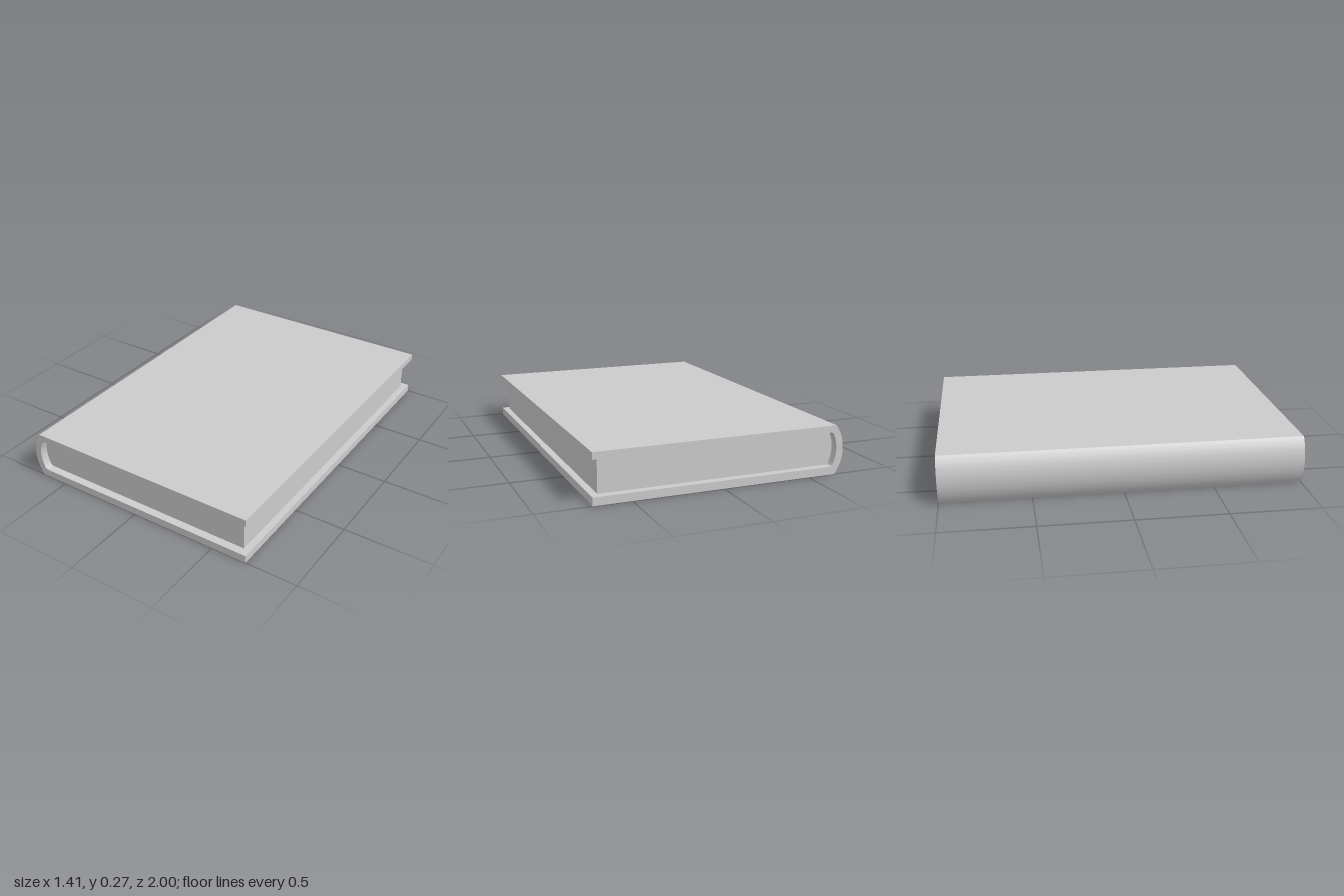
import * as THREE from 'three';
import { toCreasedNormals } from 'three/addons/utils/BufferGeometryUtils.js';

const HEIGHT = 0.272, BOARD_LOW = 0.044, BOARD_HIGH = 0.234;
const EDGE_X = 0.705, PAGE_X = 0.667;

// Rounded inner side of the spine, drawn from the lower board to the upper one
function drawInnerSpine(shape) {
  shape.lineTo(-0.625, BOARD_LOW);
  shape.quadraticCurveTo(-0.643, BOARD_LOW, -0.648, 0.06);
  shape.quadraticCurveTo(-0.682, 0.139, -0.648, 0.218);
  shape.quadraticCurveTo(-0.643, BOARD_HIGH, -0.625, BOARD_HIGH);
}

// Extrudes a cross-section along z, centred, with smooth curves and sharp edges
function extrudePart(name, shape, depth) {
  const geometry = new THREE.ExtrudeGeometry(shape, { depth, bevelEnabled: false, curveSegments: 16 });
  geometry.translate(0, 0, -depth / 2);
  const material = new THREE.MeshStandardMaterial({ color: 0xcccccc });
  const mesh = new THREE.Mesh(toCreasedNormals(geometry, Math.PI / 7), material);
  mesh.name = name;
  return mesh;
}

export function createModel() {
  const book = new THREE.Group();
  book.name = 'book';

  // Cover: two boards joined by a curved spine
  const cover = new THREE.Shape();
  const halfAngle = 0.645, radius = HEIGHT / 2 / Math.sin(halfAngle);
  cover.moveTo(EDGE_X, BOARD_HIGH);
  cover.lineTo(EDGE_X, HEIGHT);
  cover.absarc(-EDGE_X + radius, HEIGHT / 2, radius, Math.PI - halfAngle, Math.PI + halfAngle, false);
  cover.lineTo(EDGE_X, 0);
  cover.lineTo(EDGE_X, BOARD_LOW);
  drawInnerSpine(cover);
  cover.closePath();
  book.add(extrudePart('cover', cover, 2));

  // Page block: fills the cover, set back from its three open edges
  const pages = new THREE.Shape();
  pages.moveTo(PAGE_X, BOARD_HIGH);
  pages.lineTo(PAGE_X, BOARD_LOW);
  drawInnerSpine(pages);
  pages.closePath();
  book.add(extrudePart('pages', pages, 1.91));

  return book;
}
